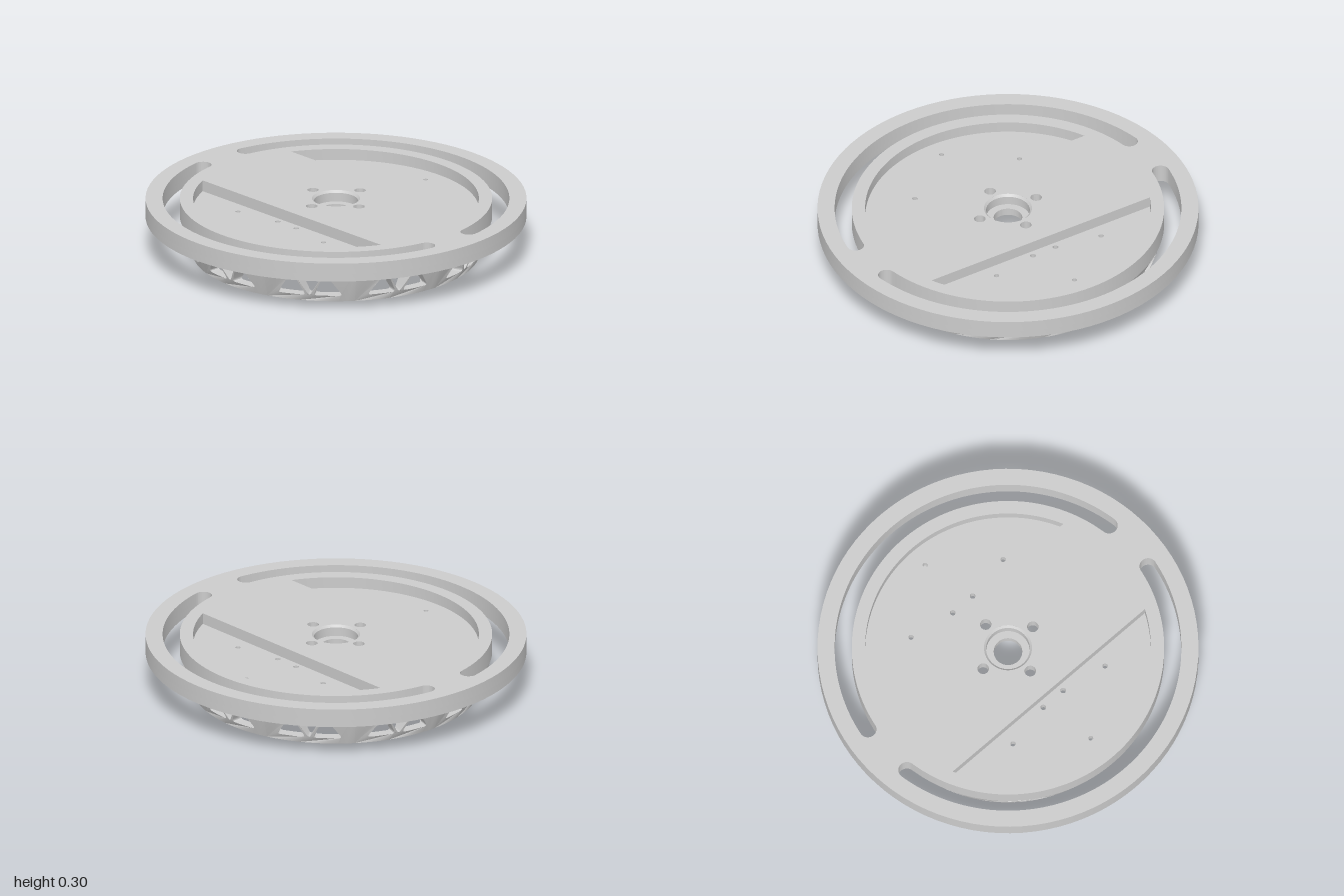
import * as THREE from 'three';
import { mergeGeometries, toCreasedNormals } from 'three/addons/utils/BufferGeometryUtils.js';

const CREASE = 0.5;
const FLOOR = 0.24; // level of the pocket floors
const V = (x, y) => new THREE.Vector2(x, y);

// --- hole outlines, drawn in plan ---
const circle = (x, y, r) => new THREE.Path().absarc(x, y, r, 0, Math.PI * 2);

// Curved slot with round ends, on the side given by sign
function arcSlot(sign) {
  const inner = 0.82, outer = 0.91, mid = (inner + outer) / 2, cap = (outer - inner) / 2;
  const a = (sign > 0 ? 0 : Math.PI) + 0.178, b = a + Math.PI - 0.356;
  const p = new THREE.Path();
  p.absarc(0, 0, outer, a, b, false);
  p.absarc(mid * Math.cos(b), mid * Math.sin(b), cap, b, b + Math.PI, false);
  p.absarc(0, 0, inner, b, a, true);
  p.absarc(mid * Math.cos(a), mid * Math.sin(a), cap, a + Math.PI, a + Math.PI * 2, false);
  return p;
}

// Circle segment cut off by a straight edge
function pocket(sign) {
  const r = 0.75, a = Math.asin(0.32 / r) + (sign > 0 ? 0 : Math.PI);
  const p = new THREE.Path();
  p.absarc(0, 0, r, a, a + Math.PI - 2 * Math.asin(0.32 / r), false);
  p.closePath();
  return p;
}

// Horizontal disc layer between two heights
function layer(y0, y1, holes) {
  const s = new THREE.Shape().absarc(0, 0, 1, 0, Math.PI * 2);
  s.holes.push(...holes);
  const g = new THREE.ExtrudeGeometry(s, { depth: y1 - y0, bevelEnabled: false, curveSegments: 48 });
  g.rotateX(-Math.PI / 2).translate(0, y0, 0);
  return toCreasedNormals(g, CREASE);
}

// Triangle with rounded corners and subdivided sides, so that it can be bent
function roundedTriangle(corners, radius) {
  const pts = [];
  corners.forEach((c, i) => {
    const prev = corners[(i + 2) % 3], next = corners[(i + 1) % 3];
    const toward = (from, to) => from.clone().add(to.clone().sub(from).setLength(radius));
    pts.push(...new THREE.QuadraticBezierCurve(toward(c, prev), c, toward(c, next)).getPoints(4));
    const start = toward(c, next), end = toward(next, c);
    for (let k = 1; k < 4; k++) pts.push(start.clone().lerp(end, k / 4));
  });
  return new THREE.Path(pts);
}

// One tenth of the skirt: a flat panel with three windows, bent around the axis
function skirtPanel() {
  const half = 0.25, core = 0.18, height = 0.2, n = 10, outline = [];
  for (let i = 0; i <= n; i++) outline.push(V(-half + (2 * half * i) / n, 0));
  for (let i = n; i >= 0; i--) outline.push(V(-half + (2 * half * i) / n, height));
  const s = new THREE.Shape(outline);
  s.holes.push(
    roundedTriangle([V(-0.175, 0.035), V(-0.02, 0.035), V(-0.088, 0.175)], 0.02),
    roundedTriangle([V(0.175, 0.035), V(0.088, 0.175), V(0.02, 0.035)], 0.02),
    roundedTriangle([V(0, 0.03), V(0.085, 0.168), V(-0.085, 0.168)], 0.02),
  );
  const src = new THREE.ExtrudeGeometry(s, { depth: 1, bevelEnabled: false }).attributes.position;
  const out = [];
  for (let i = 0; i < src.count; i += 3) {
    // the two ends meet the neighbouring panels and stay open
    if ([0, 1, 2].every(k => Math.abs(src.getX(i + k)) > half - 1e-5)) continue;
    for (let k = i; k < i + 3; k++) {
      const u = src.getX(k), v = src.getY(k), t = src.getZ(k);
      const r = THREE.MathUtils.lerp(0.722 - 0.36 * v, 0.755 + 0.325 * v, t);
      const a = Math.abs(u), limit = Math.asin(core / r);
      const angle = a <= core ? Math.asin(a / r)
        : THREE.MathUtils.lerp(limit, Math.PI / 10, (a - core) / (half - core));
      out.push(r * Math.sin(Math.sign(u) * angle), v, r * Math.cos(angle));
    }
  }
  const g = new THREE.BufferGeometry();
  g.setAttribute('position', new THREE.Float32BufferAttribute(out, 3));
  return g;
}

export function createModel() {
  const model = new THREE.Group();
  model.name = 'turntableBase';
  const material = new THREE.MeshStandardMaterial({ color: 0xcccccc });
  const add = (name, geometry, mat = material) => {
    const mesh = new THREE.Mesh(geometry, mat);
    mesh.name = name;
    model.add(mesh);
  };

  const slots = () => [arcSlot(1), arcSlot(-1)];
  const bolts = r => [0, 1, 2, 3].map(i => {
    const a = (i * Math.PI) / 2;
    return circle(0.175 * Math.cos(a), 0.175 * Math.sin(a), r);
  });

  // Small screw holes through the pocket floors
  const screws = [];
  for (const sy of [-1, 1]) {
    screws.push(circle(0, sy * 0.65, 0.013));
    for (const sx of [-1, 1]) {
      screws.push(circle(sx * 0.325, sy * 0.4, 0.014), circle(sx * 0.07, sy * 0.355, 0.015));
    }
  }

  // Plate: pocketed upper layer on a lower layer with wider bolt recesses
  add('upperPlate', layer(FLOOR, 0.3,
    [...slots(), pocket(1), pocket(-1), circle(0, 0, 0.126), ...bolts(0.03)]));
  add('lowerPlate', layer(0.2, FLOOR,
    [...slots(), circle(0, 0, 0.075), ...bolts(0.046), ...screws]));

  // Chamfered wall of the centre recess
  const collar = new THREE.LatheGeometry([V(0.126, 0.3), V(0.115, 0.288), V(0.115, FLOOR)], 64);
  add('hubRecess', toCreasedNormals(collar, CREASE),
    new THREE.MeshStandardMaterial({ color: 0xcccccc, side: THREE.DoubleSide }));

  // Tapered skirt with ten groups of windows
  const panel = skirtPanel(), panels = [];
  for (let i = 0; i < 10; i++) panels.push(panel.clone().rotateY((i * Math.PI) / 5));
  add('skirt', toCreasedNormals(mergeGeometries(panels), CREASE));

  return model;
}
